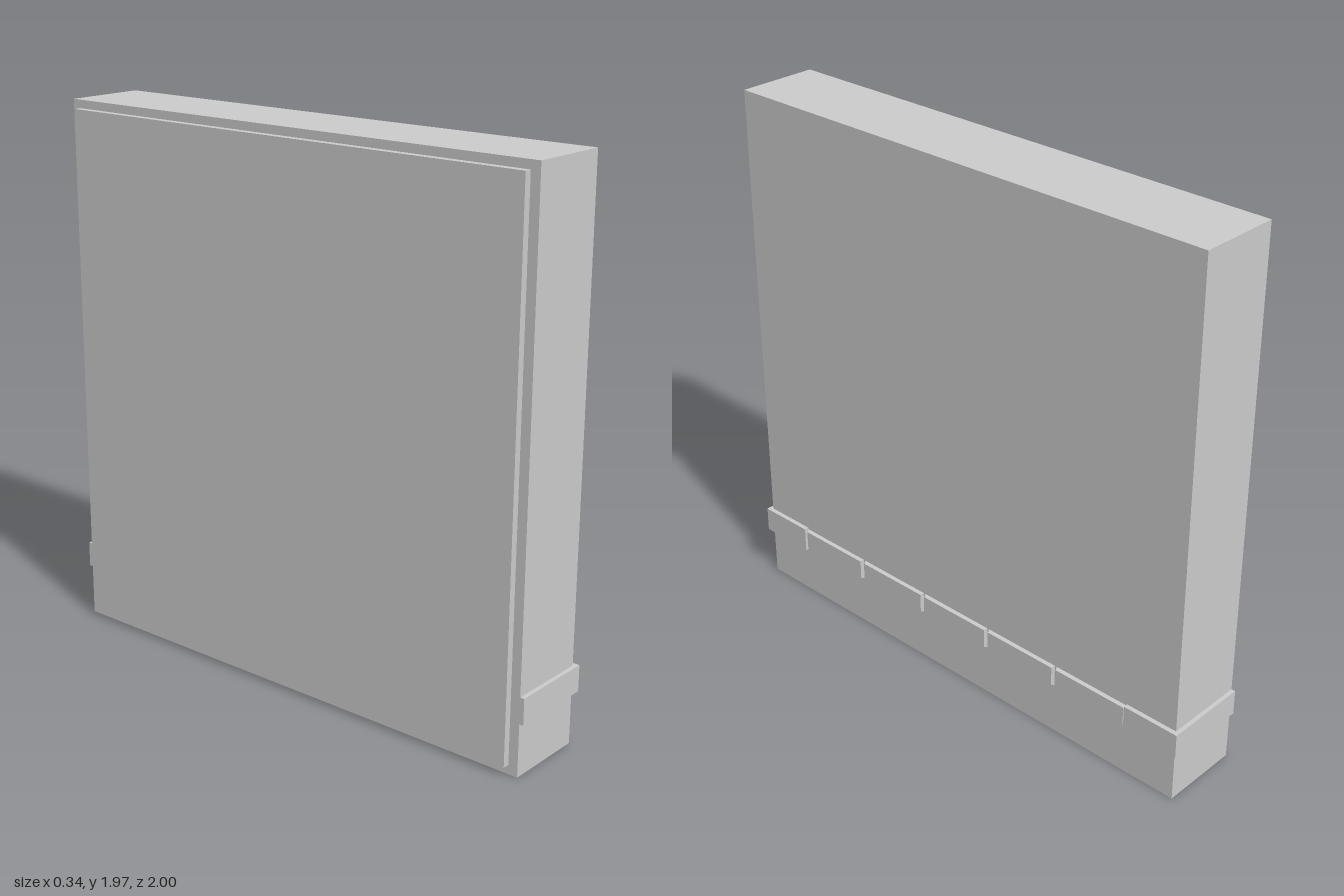
import * as THREE from 'three';

const material = new THREE.MeshStandardMaterial({ color: 0xcccccc, flatShading: true });

function add(group, name, geometry) {
  const mesh = new THREE.Mesh(geometry, material);
  mesh.name = name;
  group.add(mesh);
  return mesh;
}

// Box given by its lower and upper corners
function boxBetween([x0, y0, z0], [x1, y1, z1]) {
  return new THREE.BoxGeometry(x1 - x0, y1 - y0, z1 - z0)
    .translate((x0 + x1) / 2, (y0 + y1) / 2, (z0 + z1) / 2);
}

// L-shaped band around one vertical edge; side is +1 (front) or -1 (back)
function cornerBand(side) {
  const plan = [[-0.147, 0.985], [-0.147, 1], [0.17, 1], [0.17, 0.782], [0.153, 0.782], [0.153, 0.985]];
  const shape = new THREE.Shape(plan.map(([x, z]) => new THREE.Vector2(x, z * side)));
  return new THREE.ExtrudeGeometry(shape, { depth: 0.094, bevelEnabled: false })
    .rotateX(Math.PI / 2).translate(0, 0.282, 0);
}

// Bar whose outer face is slightly smaller than its base
function taperedBar(depth, height, length, inset) {
  const geometry = new THREE.BoxGeometry(depth, height, length);
  const p = geometry.attributes.position;
  for (let i = 0; i < p.count; i++) {
    if (p.getX(i) > 0) {
      p.setY(i, p.getY(i) - Math.sign(p.getY(i)) * inset);
      p.setZ(i, p.getZ(i) - Math.sign(p.getZ(i)) * inset);
    }
  }
  geometry.computeVertexNormals();
  return geometry;
}

export function createModel() {
  const model = new THREE.Group();
  model.name = 'slabCabinet';

  // Main slab and the thin panel on its -x face
  add(model, 'body', boxBetween([-0.147, 0, -0.985], [0.153, 1.97, 0.985]));
  add(model, 'rearPanel', boxBetween([-0.173, 0.033, -0.953], [-0.147, 1.94, 0.95]));

  // Bands wrapping the two corners
  add(model, 'frontCornerBand', cornerBand(1));
  add(model, 'backCornerBand', cornerBand(-1));

  // Row of five bars between the corner bands
  for (let i = 0; i < 5; i++) {
    const bar = add(model, 'trimBar' + (i + 1), taperedBar(0.012, 0.082, 0.305, 0.005));
    bar.position.set(0.159, 0.235, (2 - i) * 0.314);
  }
  return model;
}
